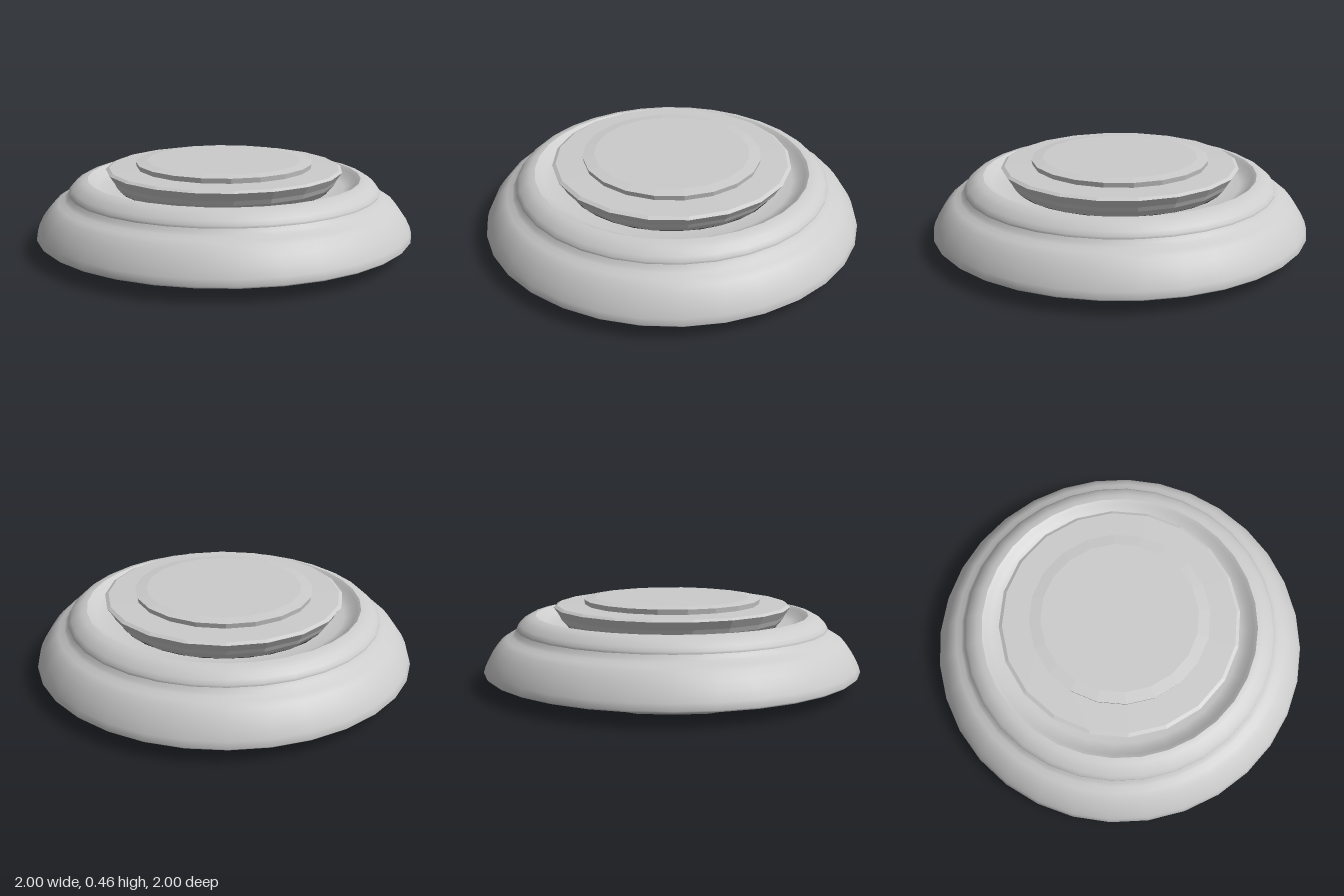
import * as THREE from 'three';

const material = new THREE.MeshStandardMaterial({ color: 0xcccccc });
const flatMaterial = new THREE.MeshStandardMaterial({ color: 0xcccccc, flatShading: true });

// Turned surface from [radius, height] pairs, run from the underside outwards and over the top
function turned(name, profile, segments, mat, phase = 0) {
  const points = profile.map(([r, y]) => new THREE.Vector2(r, y));
  const mesh = new THREE.Mesh(new THREE.LatheGeometry(points, segments, phase), mat);
  mesh.name = name;
  return mesh;
}

// Presses four rounded pads, one per quarter, down out of the underside
function pressFeet(geometry) {
  const pos = geometry.attributes.position;
  for (let i = 0; i < pos.count; i++) {
    const x = pos.getX(i), z = pos.getZ(i);
    const r = Math.hypot(x, z);
    const quarter = Math.PI / 2;
    const angle = Math.atan2(x, z);
    const off = Math.abs(angle - Math.round(angle / quarter) * quarter) * 180 / Math.PI;
    const around = 1 - THREE.MathUtils.smoothstep(off, 10, 38);
    const across = THREE.MathUtils.smoothstep(r, 0.56, 0.77) * (1 - THREE.MathUtils.smoothstep(r, 0.85, 0.94));
    pos.setY(i, pos.getY(i) - 0.043 * around * across);
  }
  geometry.computeVertexNormals();
}

export function createModel() {
  const model = new THREE.Group();
  const half = Math.PI / 20; // turns the 20-sided parts so a flat faces front

  // Smooth round housing, split where its edges are sharp
  const underside = turned('underside', [
    [0.3, 0.072], [0.36, 0.074], [0.41, 0.08], [0.47, 0.078], [0.53, 0.073], [0.6, 0.072], [0.65, 0.072],
    [0.7, 0.072], [0.75, 0.072], [0.8, 0.072], [0.85, 0.072], [0.89, 0.072], [0.93, 0.072], [0.99, 0.072],
  ], 32, material);
  pressFeet(underside.geometry);

  const skirt = turned('skirt', [
    [0.99, 0.072], [1, 0.082], [0.99, 0.115], [0.968, 0.16], [0.94, 0.2], [0.91, 0.235],
    [0.88, 0.255], [0.85, 0.268], [0.835, 0.283], [0.825, 0.298],
  ], 32, material);

  const shoulder = turned('shoulder', [
    [0.825, 0.298], [0.825, 0.31], [0.81, 0.328], [0.785, 0.35], [0.755, 0.366], [0.725, 0.371],
  ], 32, material);

  const recess = turned('recess', [
    [0.725, 0.371], [0.705, 0.358], [0.68, 0.335], [0.64, 0.317], [0.56, 0.31],
  ], 32, material);

  // Faceted platter with a raised disc on top
  const platter = turned('platter', [
    [0.56, 0.31], [0.59, 0.345], [0.602, 0.37], [0.63, 0.412], [0.612, 0.422], [0.465, 0.424],
  ], 20, flatMaterial, half);

  const topDisc = turned('topDisc', [
    [0.465, 0.424], [0.47, 0.45], [0.41, 0.458], [0, 0.458],
  ], 20, flatMaterial, half);

  // Faceted hub below
  const hub = turned('hub', [
    [0, 0], [0.18, 0], [0.25, 0.016], [0.36, 0.076],
  ], 20, flatMaterial, half);

  model.add(underside, skirt, shoulder, recess, platter, topDisc, hub);
  return model;
}
